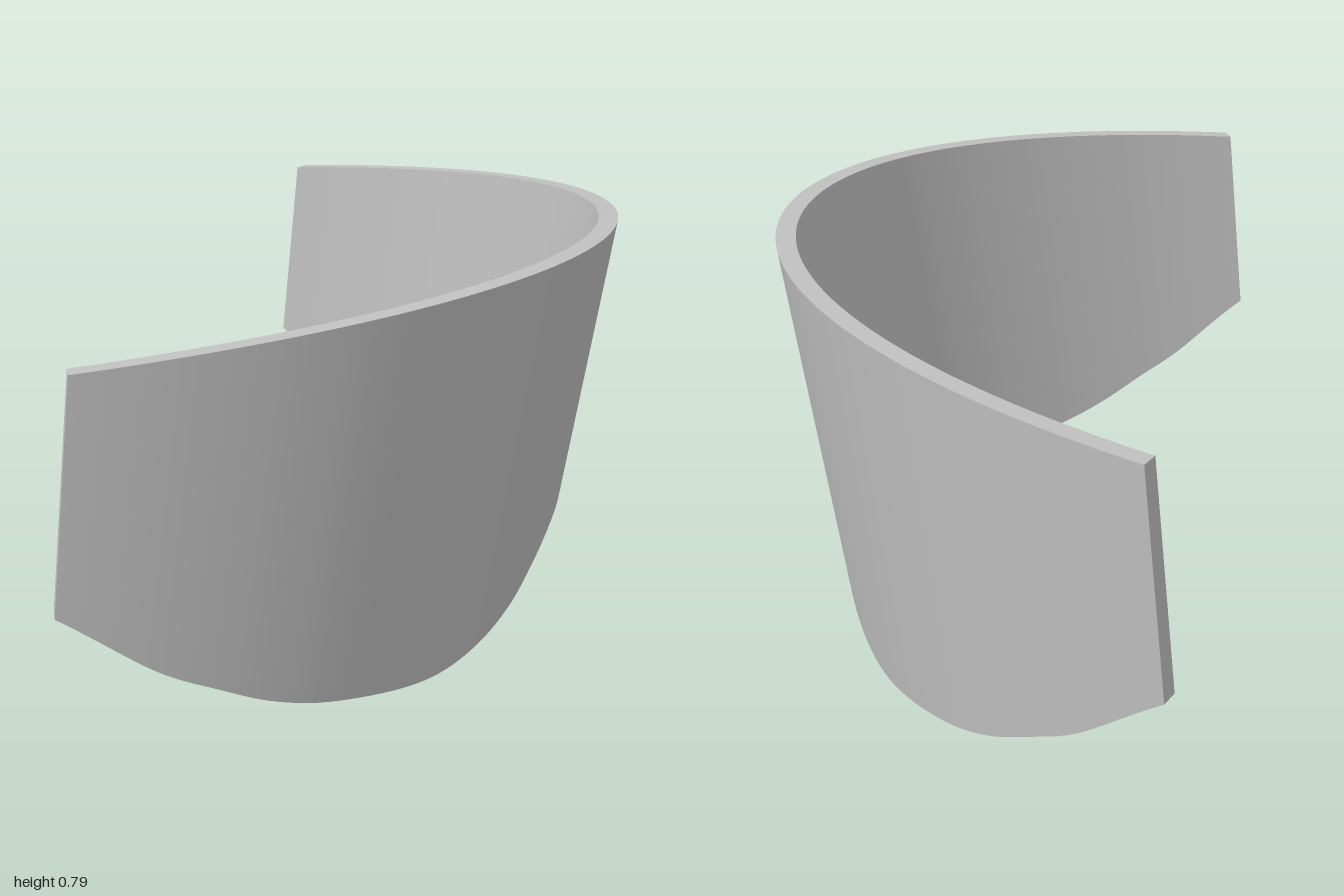
import * as THREE from 'three';

const THICKNESS = 0.04;
const SEGMENTS = 120;

// Lower rim, half outline as (z, y): raised nose arch, cheek dip, upswept end
const HALF_RIM = [
  [0, 0.185], [0.1, 0.168], [0.2, 0.122], [0.3, 0.063], [0.42, 0.018], [0.55, 0],
  [0.71, 0.024], [0.8, 0.057], [0.87, 0.108], [0.93, 0.166], [1, 0.28],
];

// Strip between two rows of points; normal is (b - a) x (direction along the row)
function strip(name, a, b, material) {
  const positions = [], index = [];
  a.forEach((p, i) => {
    positions.push(...p.toArray(), ...b[i].toArray());
    if (i > 0) {
      const k = 2 * i;
      index.push(k - 2, k - 1, k, k - 1, k + 1, k);
    }
  });
  const geometry = new THREE.BufferGeometry();
  geometry.setAttribute('position', new THREE.Float32BufferAttribute(positions, 3));
  geometry.setIndex(index);
  geometry.computeVertexNormals();
  const mesh = new THREE.Mesh(geometry, material);
  mesh.name = name;
  return mesh;
}

export function createModel() {
  const grey = new THREE.MeshStandardMaterial({ color: 0xc0c0c0 });
  grey.name = 'plain grey';

  const mirrored = HALF_RIM.slice(1).reverse().map(([z, y]) => [-z, y]);
  const rim = new THREE.SplineCurve(
    [...mirrored, ...HALF_RIM].map(([z, y]) => new THREE.Vector2(z, y)));

  const outerTop = [], outerBottom = [], innerTop = [], innerBottom = [];
  for (let i = 0; i <= SEGMENTS; i++) {
    const { x: z, y: low } = rim.getPoint(i / SEGMENTS);
    // Elliptical wrap at the top edge, leaning inward towards the bottom
    const root = Math.sqrt(1 - 0.7975 * z * z);
    const x = 0.45 - 1.536 * (1 - root);
    const top = 0.748 + 0.094 * x;
    const lean = 0.177 - 0.072 * z * z;
    const lowX = x - lean * (top - low);
    // Offset along the wrap's normal for the inner wall
    const normal = new THREE.Vector3(1, 0, 1.225 * z / root).normalize();
    const inset = p => p.clone().addScaledVector(normal, -THICKNESS);
    const t = new THREE.Vector3(x, top, z);
    const b = new THREE.Vector3(lowX, low, z);
    outerTop.push(t);
    outerBottom.push(b);
    innerTop.push(inset(t));
    innerBottom.push(inset(b));
  }

  const visor = new THREE.Group();
  visor.name = 'visor';
  visor.add(
    strip('outerWall', outerBottom, outerTop, grey),
    strip('innerWall', innerTop, innerBottom, grey),
    strip('topRim', outerTop, innerTop, grey),
    strip('bottomRim', innerBottom, outerBottom, grey),
  );

  // Flat end caps
  const n = SEGMENTS;
  visor.add(
    strip('frontEnd', [innerBottom[n], innerTop[n]], [outerBottom[n], outerTop[n]], grey),
    strip('backEnd', [outerBottom[0], outerTop[0]], [innerBottom[0], innerTop[0]], grey),
  );
  return visor;
}
